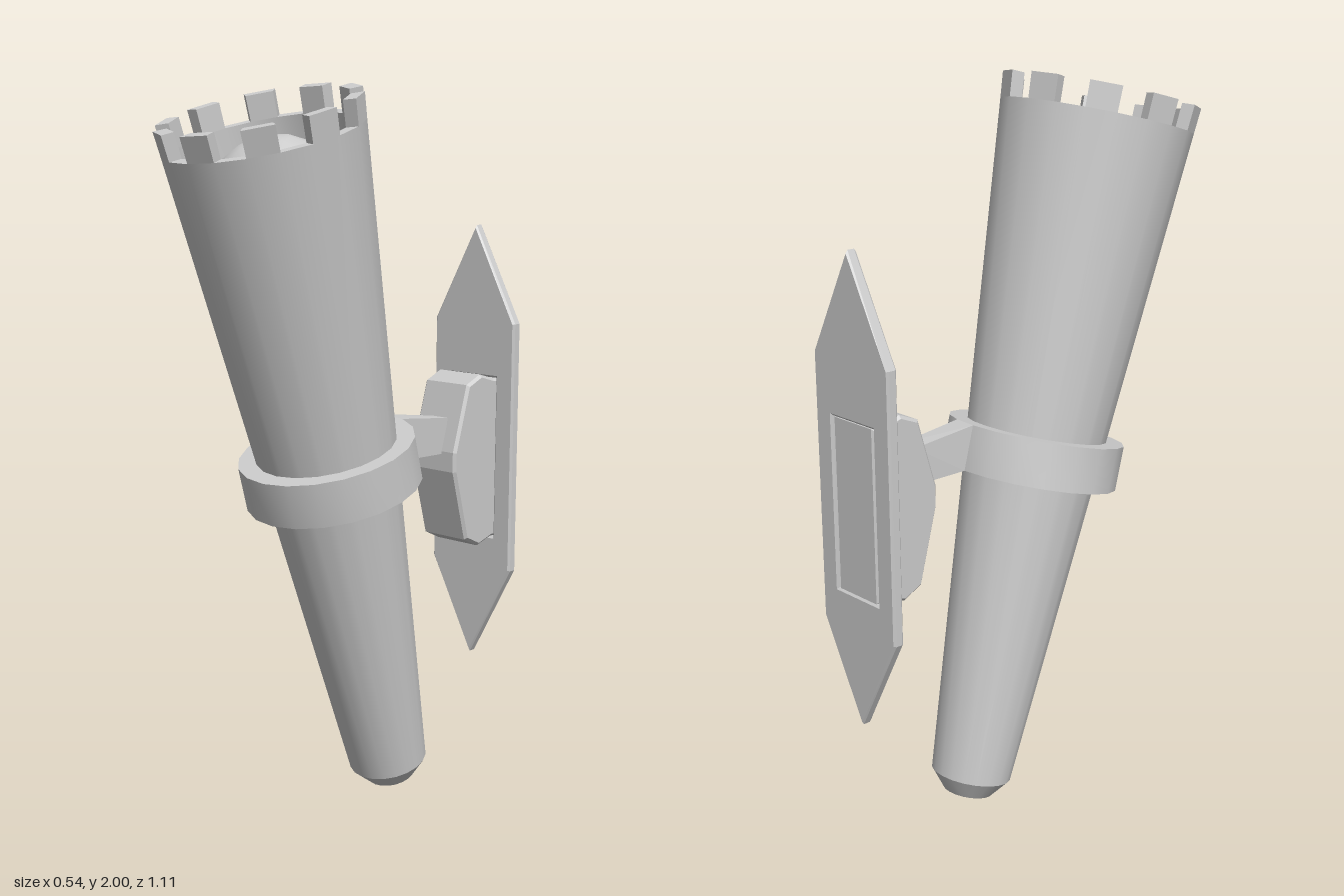
import * as THREE from 'three';
import { toCreasedNormals } from 'three/addons/utils/BufferGeometryUtils.js';
import { ConvexGeometry } from 'three/addons/geometries/ConvexGeometry.js';

const SIDES = 20;
const STEP = (Math.PI * 2) / SIDES;
const V2 = (p) => new THREE.Vector2(p[0], p[1]);

export function createModel() {
  const model = new THREE.Group();
  model.name = 'wallTorch';
  const material = new THREE.MeshStandardMaterial({ color: 0xcccccc });

  const add = (parent, name, geometry) => {
    const mesh = new THREE.Mesh(geometry, material);
    mesh.name = name;
    parent.add(mesh);
    return mesh;
  };
  const lathe = (points) =>
    toCreasedNormals(new THREE.LatheGeometry(points.map(V2), SIDES), 0.5);
  const polar = (r, y, angle) =>
    new THREE.Vector3(r * Math.sin(angle), y, r * Math.cos(angle));

  // Leaning torch, with its origin at the centre of the rim
  const torch = new THREE.Group();
  torch.name = 'torch';
  torch.position.set(0, 1.928, 0.29);
  torch.rotation.x = THREE.MathUtils.degToRad(15);
  model.add(torch);
  torch.updateMatrix();

  // Tapered body with a chamfered foot and a hollow cup
  add(torch, 'body', lathe([
    [0, -1.978], [0.07, -1.978], [0.113, -1.925], [0.265, -0.068],
    [0.23, -0.068], [0.222, -0.31], [0, -0.31],
  ]));

  // Square teeth on every second side of the rim
  for (let i = 0; i < SIDES; i += 2) {
    const corners = [];
    for (const angle of [i * STEP, (i + 1) * STEP]) {
      corners.push(
        polar(0.265, -0.068, angle), polar(0.271, 0, angle),
        polar(0.23, -0.068, angle), polar(0.235, 0, angle));
    }
    add(torch, 'rimTooth', new ConvexGeometry(corners));
  }

  // Dome inside the cup
  const dome = add(torch, 'dome',
    new THREE.SphereGeometry(0.22, 10, 5, 0, Math.PI * 2, 0, Math.PI / 2));
  dome.scale.y = 1.09;
  dome.position.y = -0.31;

  // Holding ring
  add(torch, 'ring', lathe([
    [0.165, -1.052], [0.245, -1.052], [0.245, -0.928], [0.18, -0.928], [0.165, -1.052],
  ]));

  // Arm from one side of the ring to the mount
  const armCorners = [];
  for (const side of [SIDES / 2 - 1, SIDES / 2]) {
    for (const y of [-0.928, -1.052]) {
      armCorners.push(polar(0.245, y, side * STEP).applyMatrix4(torch.matrix));
    }
  }
  for (const x of [0.018, 0.075]) {
    armCorners.push(new THREE.Vector3(x, 1.07, -0.372), new THREE.Vector3(x, 0.968, -0.36));
  }
  add(model, 'arm', new ConvexGeometry(armCorners));

  // Mount block: side profile (z, y) extruded across x
  const bevel = 0.008;
  const mountShape = new THREE.Shape([
    [-0.545, 0.71], [-0.521, 0.71], [-0.463, 0.693], [-0.41, 0.718], [-0.355, 0.92],
    [-0.355, 0.975], [-0.41, 1.16], [-0.463, 1.182], [-0.521, 1.165], [-0.545, 1.165],
  ].map(V2));
  const mount = new THREE.ExtrudeGeometry(mountShape, {
    depth: 0.162 - 2 * bevel, bevelEnabled: true, bevelSize: bevel,
    bevelThickness: bevel, bevelSegments: 1,
  });
  mount.rotateY(-Math.PI / 2).translate(0.125 - bevel, 0, 0);
  add(model, 'mountBlock', mount);

  // Pointed wall plate with a window for the back of the mount
  const edge = 0.006;
  const plateShape = new THREE.Shape([
    [0.044, 0.338], [0.184, 0.607], [0.184, 1.333],
    [0.044, 1.602], [-0.096, 1.333], [-0.096, 0.607],
  ].map(V2));
  plateShape.holes.push(new THREE.Path([
    [-0.044, 0.695], [-0.044, 1.18], [0.132, 1.18], [0.132, 0.695],
  ].map(V2)));
  const plate = new THREE.ExtrudeGeometry(plateShape, {
    depth: 0.032 - 2 * edge, bevelEnabled: true, bevelSize: edge,
    bevelThickness: edge, bevelSegments: 1,
  });
  plate.translate(0, 0, -0.556 + edge);
  add(model, 'wallPlate', plate);

  return model;
}
